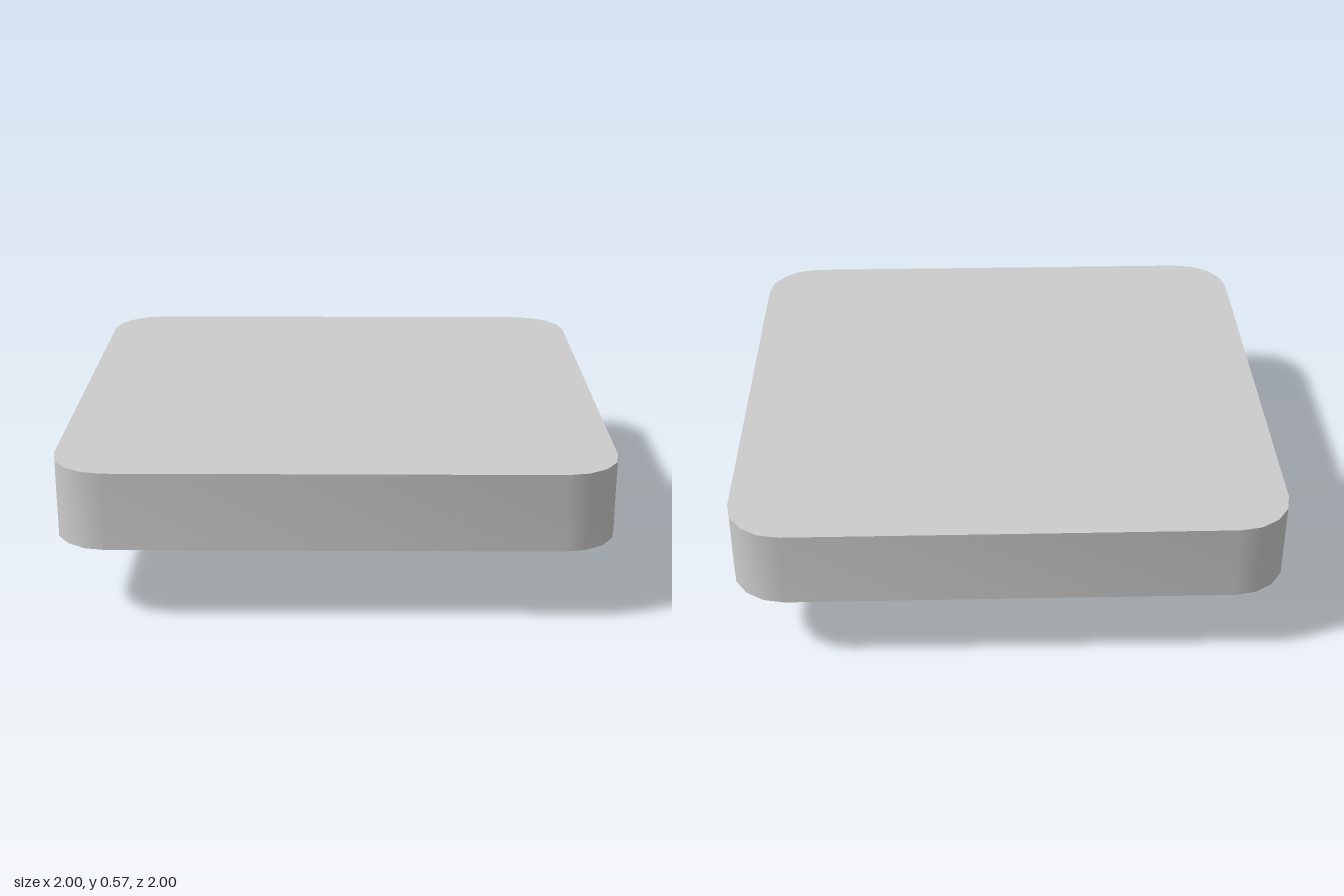
import * as THREE from 'three';
import { mergeGeometries, toCreasedNormals } from 'three/addons/utils/BufferGeometryUtils.js';

const material = new THREE.MeshStandardMaterial({ color: 0xcccccc });

// Thick square slab with rounded vertical corners
function slabGeometry(half, radius, bottom, top) {
  const c = half - radius;
  const shape = new THREE.Shape();
  shape.absarc(c, c, radius, 0, Math.PI / 2);
  shape.absarc(-c, c, radius, Math.PI / 2, Math.PI);
  shape.absarc(-c, -c, radius, Math.PI, Math.PI * 1.5);
  shape.absarc(c, -c, radius, Math.PI * 1.5, Math.PI * 2);
  const geometry = new THREE.ExtrudeGeometry(shape, {
    depth: top - bottom, bevelEnabled: false, curveSegments: 2,
  });
  geometry.rotateX(-Math.PI / 2).translate(0, bottom, 0);
  return toCreasedNormals(geometry, 0.7);
}

// Square post following a profile of [half width, height], top to bottom:
// smooth along its height, sharp at its four corners
function squarePostGeometry(profile) {
  const side = new THREE.PlaneGeometry(2, 1, 1, profile.length - 1);
  const pos = side.attributes.position;
  for (let i = 0; i < pos.count; i++) {
    const [half, y] = profile[Math.floor(i / 2)];
    pos.setXYZ(i, Math.sign(pos.getX(i)) * half, y, half);
  }
  side.computeVertexNormals();

  const parts = [];
  for (let k = 0; k < 4; k++) parts.push(side.clone().rotateY(k * Math.PI / 2));

  // Underside
  const [baseHalf, baseY] = profile[profile.length - 1];
  parts.push(new THREE.PlaneGeometry(2 * baseHalf, 2 * baseHalf).rotateX(Math.PI / 2).translate(0, baseY, 0));
  return mergeGeometries(parts);
}

export function createModel() {
  const model = new THREE.Group();
  model.name = 'pedestalTable';

  const top = new THREE.Mesh(slabGeometry(1, 0.2, 0.28, 0.566), material);
  top.name = 'tableTop';

  const pedestal = new THREE.Mesh(squarePostGeometry([
    [0.064, 0.281], [0.072, 0.23], [0.057, 0.15], [0.057, 0.08], [0.173, 0],
  ]), material);
  pedestal.name = 'pedestal';

  model.add(top, pedestal);
  return model;
}
